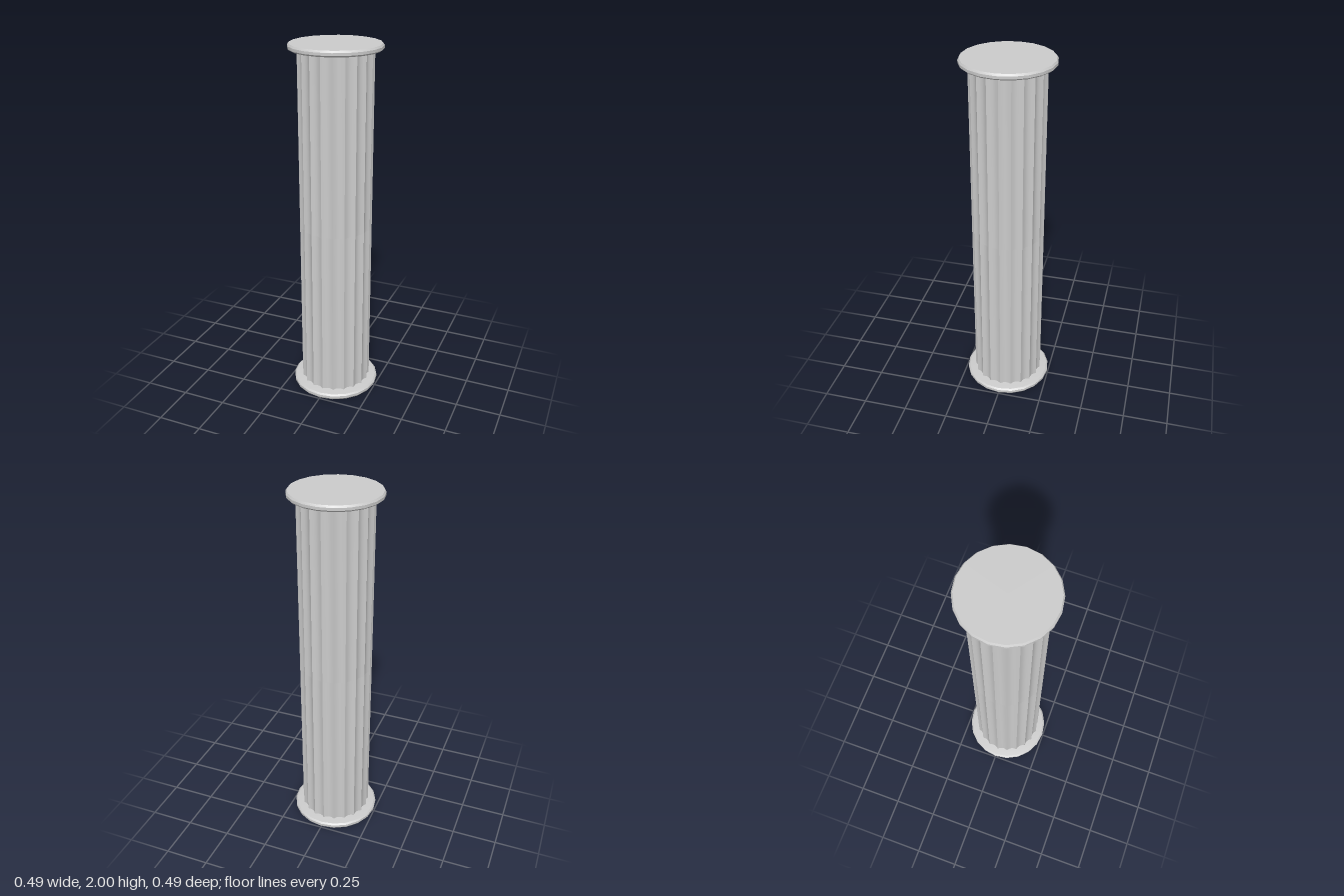
import * as THREE from 'three';
import { toCreasedNormals } from 'three/addons/utils/BufferGeometryUtils.js';

const SIDES = 20;
const material = new THREE.MeshStandardMaterial({ color: 0xcccccc });

function part(name, geometry, crease) {
  const mesh = new THREE.Mesh(toCreasedNormals(geometry, crease), material);
  mesh.name = name;
  return mesh;
}

// Fluted outline: sharp ridges at the outer radius, shallow curved hollows between them
function flutedShape(outer, depth, steps) {
  const points = [];
  for (let i = 0; i < SIDES * steps; i++) {
    const a = (i / (SIDES * steps)) * Math.PI * 2;
    const t = (i % steps) / steps;
    const r = outer - depth * 4 * t * (1 - t);
    points.push(new THREE.Vector2(r * Math.cos(a), r * Math.sin(a)));
  }
  return new THREE.Shape(points);
}

// One drum of the shaft, standing between two heights
function drum(name, y0, y1) {
  const g = new THREE.ExtrudeGeometry(flutedShape(0.2, 0.013, 4), { depth: y1 - y0, bevelEnabled: false });
  g.rotateX(-Math.PI / 2);
  g.translate(0, y0, 0);
  return part(name, g, 0.55);
}

// Round plate with bevelled rim and a slight slope up to the shaft
function plate(name) {
  const profile = [[0, 0], [0.24, 0], [0.247, 0.01], [0.247, 0.024], [0.238, 0.032], [0.18, 0.04], [0, 0.04]]
    .map(([r, y]) => new THREE.Vector2(r, y));
  return part(name, new THREE.LatheGeometry(profile, SIDES), 0.4);
}

export function createModel() {
  const column = new THREE.Group();
  column.name = 'column';

  column.add(drum('lowerDrum', 0.03, 1), drum('upperDrum', 1, 1.97));

  const base = plate('basePlate');
  const cap = plate('capPlate');
  cap.rotation.x = Math.PI;
  cap.position.y = 2;
  column.add(base, cap);

  return column;
}
